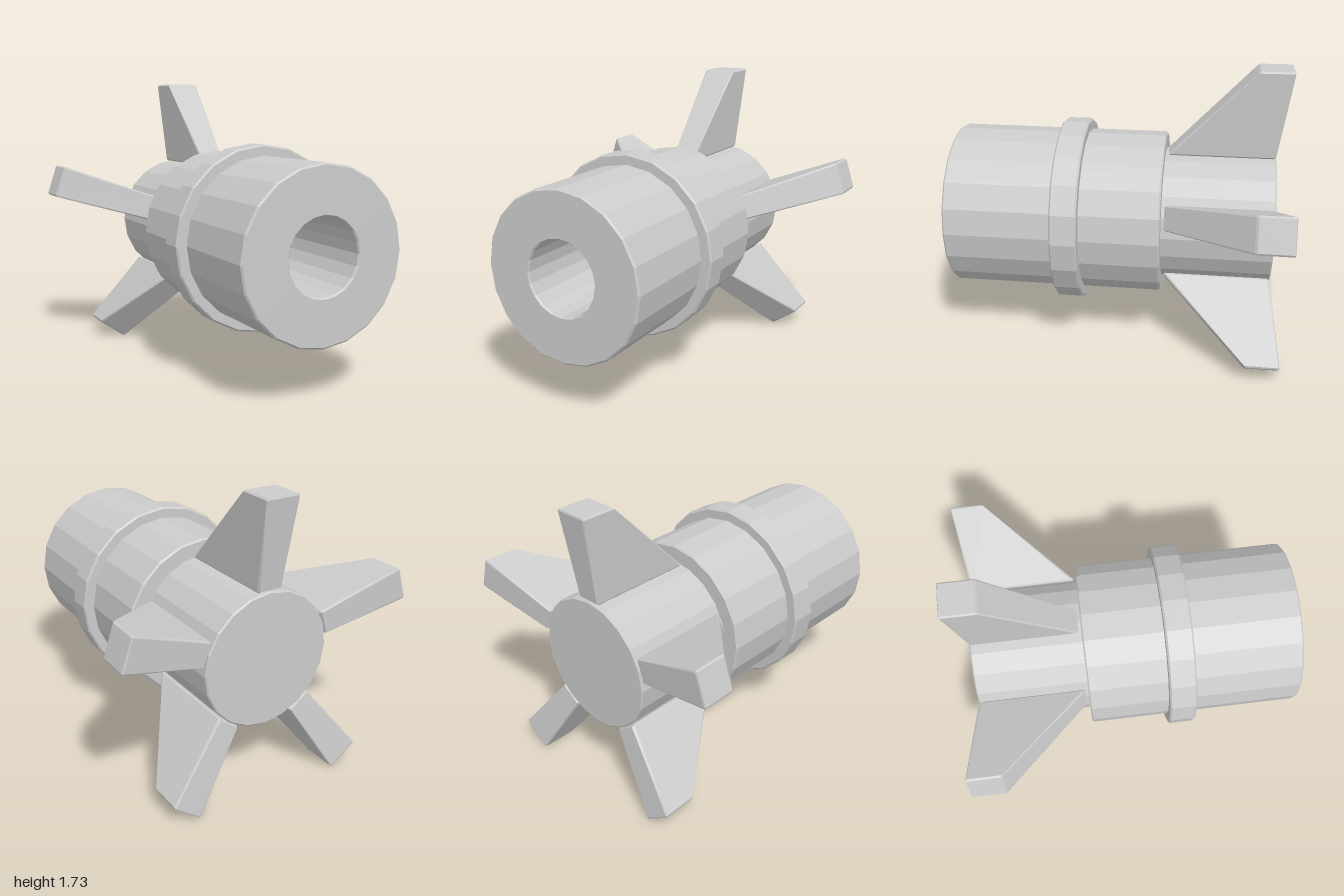
import * as THREE from 'three';
import { ConvexGeometry } from 'three/addons/geometries/ConvexGeometry.js';

const AXIS_Y = 0.807;
const SIDES = 20;
const material = new THREE.MeshStandardMaterial({ color: 0xcccccc, flatShading: true });

// Faceted part turned about the z axis; profile points are [radius, z]
function turned(name, profile) {
  const points = profile.map(([r, z]) => new THREE.Vector2(r, z));
  const geometry = new THREE.LatheGeometry(points, SIDES).rotateX(Math.PI / 2);
  const mesh = new THREE.Mesh(geometry, material);
  mesh.name = name;
  return mesh;
}

// Swept, tapered fin pointing up (+y), with its edges bevelled
function finGeometry() {
  const { lerp } = THREE.MathUtils;
  const place = (u, v, w) => {
    const t = (v + 1) / 2; // 0 at the root, 1 at the tip
    const front = lerp(-0.285, -0.8, t);
    const back = lerp(-0.925, -1.0, t);
    return new THREE.Vector3(u * lerp(0.074, 0.103, t), lerp(0.397, 0.928, t), lerp(back, front, (w + 1) / 2));
  };
  const points = [];
  const bu = 0.9, bv = 0.965, bw = 0.95;
  for (const u of [-1, 1]) for (const v of [-1, 1]) for (const w of [-1, 1]) {
    points.push(
      place(u, v * bv, w * bw),
      place(u * bu, v, w * bw),
      place(u * bu, v * bv, w)
    );
  }
  return new ConvexGeometry(points);
}

export function createModel() {
  const model = new THREE.Group();
  model.name = 'finnedBody';

  const assembly = new THREE.Group();
  assembly.name = 'assembly';
  assembly.position.y = AXIS_Y;
  model.add(assembly);

  // Main barrel with a deep blind bore in the front
  assembly.add(turned('barrel', [
    [0, -0.275], [0.485, -0.275], [0.495, -0.265],
    [0.495, 0.99], [0.485, 1.0],
    [0.225, 1.0], [0.217, 0.99], [0.217, -0.2], [0, -0.2],
  ]));

  // Raised collar around the barrel
  assembly.add(turned('collar', [
    [0.48, 0.195], [0.55, 0.195], [0.56, 0.205],
    [0.56, 0.345], [0.55, 0.355], [0.48, 0.355],
  ]));

  // Narrower solid tail
  assembly.add(turned('tail', [
    [0, -0.93], [0.39, -0.93], [0.398, -0.922], [0.398, -0.265], [0, -0.265],
  ]));

  // Five fins spread evenly around the tail
  const fin = finGeometry();
  for (let i = 0; i < 5; i++) {
    const mesh = new THREE.Mesh(fin, material);
    mesh.name = `fin${i + 1}`;
    mesh.rotation.z = (i * Math.PI * 2) / 5;
    assembly.add(mesh);
  }
  return model;
}
